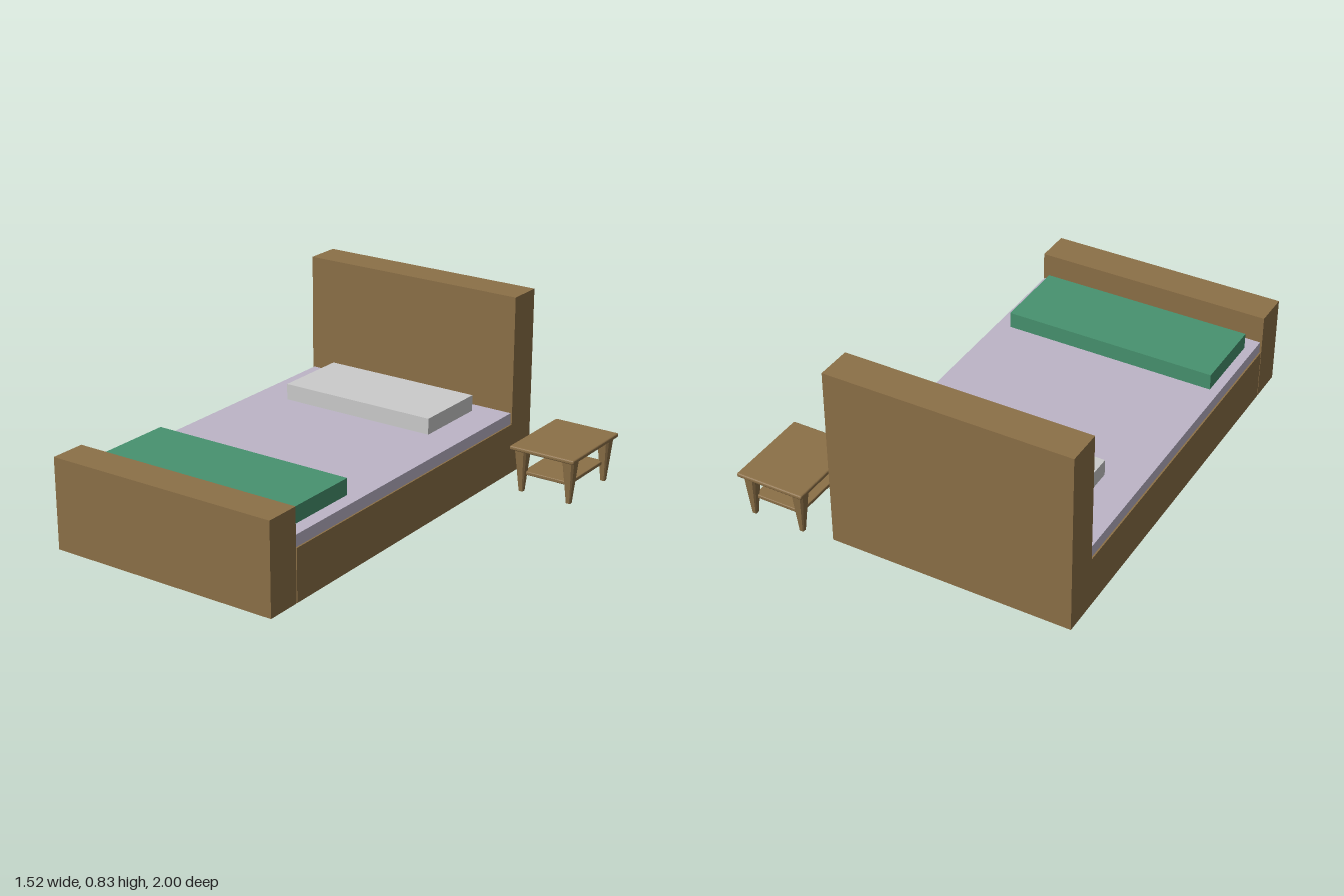
import * as THREE from 'three';
import { RoundedBoxGeometry } from 'three/addons/geometries/RoundedBoxGeometry.js';

const material = (color) => new THREE.MeshStandardMaterial({ color, flatShading: true });

export function createModel() {
  const model = new THREE.Group();
  const wood = material(0x8c7047);
  const sheet = material(0xbdb5c7);
  const green = material(0x47926f);
  const grey = material(0xcccccc);

  // Box given by its limits on each axis; a radius rounds its edges
  function block(parent, name, mat, [x0, x1], [y0, y1], [z0, z1], radius = 0) {
    const size = [x1 - x0, y1 - y0, z1 - z0];
    const geometry = radius
      ? new RoundedBoxGeometry(...size, 2, radius)
      : new THREE.BoxGeometry(...size);
    const mesh = new THREE.Mesh(geometry, mat);
    mesh.position.set((x0 + x1) / 2, (y0 + y1) / 2, (z0 + z1) / 2);
    mesh.name = name;
    parent.add(mesh);
  }

  // Bed
  const bed = new THREE.Group();
  bed.name = 'bed';
  model.add(bed);
  const width = [-0.765, 0.335];
  block(bed, 'headboard', wood, width, [0, 0.83], [-0.942, -0.78]);
  block(bed, 'footboard', wood, width, [0, 0.412], [0.836, 1]);
  block(bed, 'bedFrame', wood, width, [0, 0.235], [-0.78, 0.831]);
  block(bed, 'mattress', sheet, [-0.758, 0.328], [0.235, 0.288], [-0.78, 0.831]);
  block(bed, 'pillow', grey, [-0.595, 0.17], [0.288, 0.362], [-0.708, -0.347]);
  block(bed, 'foldedBlanket', green, [-0.715, 0.265], [0.288, 0.362], [0.396, 0.757]);

  // Bedside table
  const table = new THREE.Group();
  table.name = 'bedsideTable';
  model.add(table);
  block(table, 'tableTop', wood, [0.438, 0.758], [0.201, 0.22], [-1, -0.588], 0.007);
  block(table, 'tableShelf', wood, [0.482, 0.714], [0.078, 0.095], [-0.95, -0.638], 0.004);

  // Tapered square legs with chamfered corners
  const a = 0.03, c = 0.02, height = 0.203;
  const outline = [[a, -c], [a, c], [c, a], [-c, a], [-a, c], [-a, -c], [-c, -a], [c, -a]];
  const legShape = new THREE.Shape(outline.map(([x, y]) => new THREE.Vector2(x, y)));
  const legGeometry = new THREE.ExtrudeGeometry(legShape, { depth: height, bevelEnabled: false });
  legGeometry.rotateX(-Math.PI / 2);
  const p = legGeometry.attributes.position;
  for (let i = 0; i < p.count; i++) {
    const s = THREE.MathUtils.lerp(0.36, 1, p.getY(i) / height);
    p.setXYZ(i, p.getX(i) * s, p.getY(i), p.getZ(i) * s);
  }
  legGeometry.computeVertexNormals();
  for (const sx of [-1, 1]) {
    for (const sz of [-1, 1]) {
      const leg = new THREE.Mesh(legGeometry, wood);
      leg.position.set(0.598 + sx * 0.119, 0, -0.794 + sz * 0.157);
      leg.name = 'tableLeg';
      table.add(leg);
    }
  }
  return model;
}
